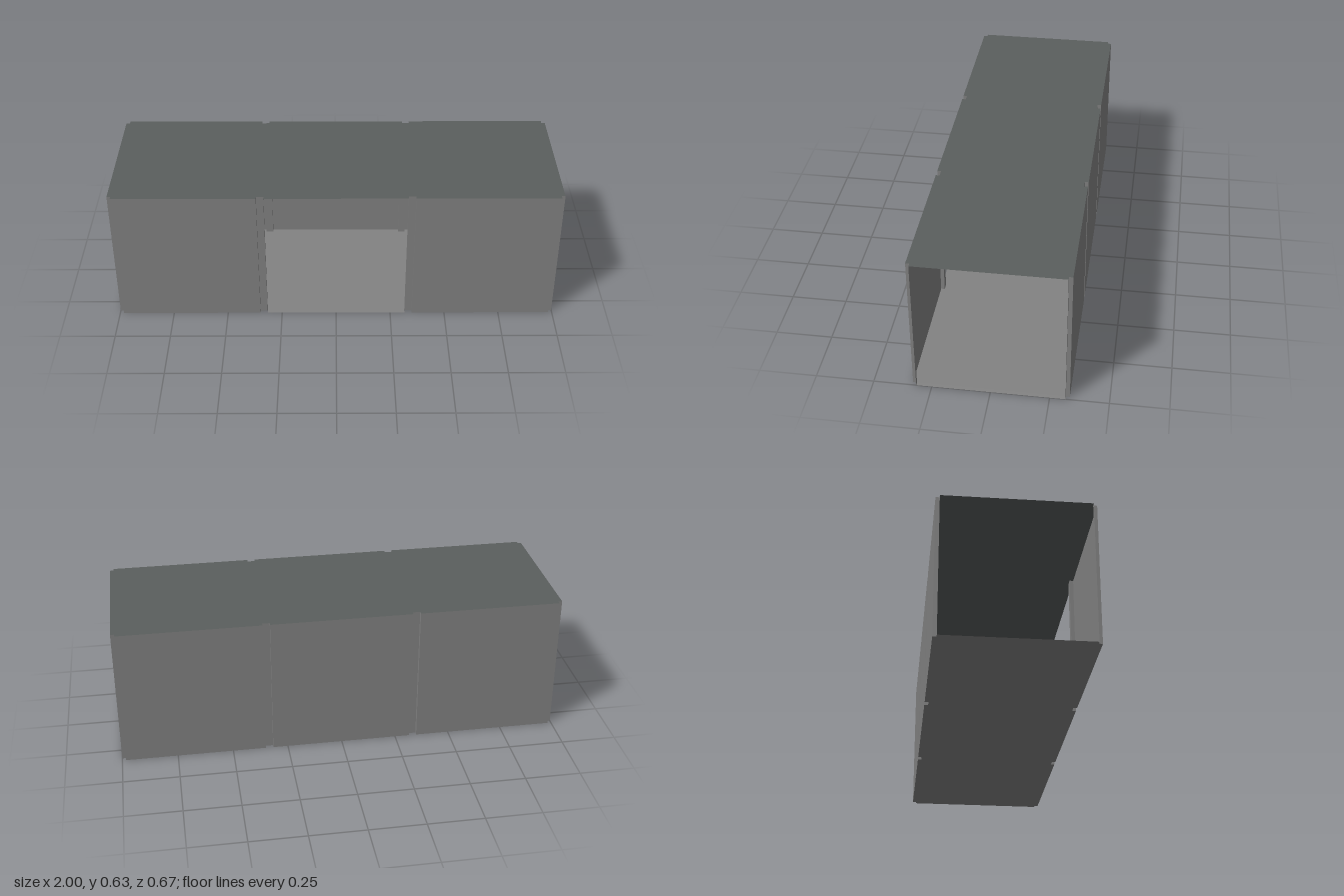
import * as THREE from 'three';

const H = 0.635;      // wall height
const M = 1 / 3;      // half a module, and half the depth
const STEP = 1 / 60;  // depth and width of the groove beside each panel

export function createModel() {
  const group = new THREE.Group();
  const wallGrey = new THREE.MeshStandardMaterial({ color: 0x838383, side: THREE.DoubleSide });
  const roofGrey = new THREE.MeshStandardMaterial({ color: 0x5b5f5e, side: THREE.DoubleSide });
  wallGrey.name = 'wallGrey';
  roofGrey.name = 'roofGrey';

  // Plan of one module's wall: jamb, return, panel, return, jamb
  const inner = M - STEP;
  const plan = [[-M, inner], [-inner, inner], [-inner, M], [inner, M], [inner, inner], [M, inner]];
  const names = ['jamb', 'panelReturn', 'wallPanel', 'panelReturn', 'jamb'];

  // Upright sheet between two plan points
  function sheet([x0, z0], [x1, z1], name) {
    const mesh = new THREE.Mesh(new THREE.PlaneGeometry(Math.hypot(x1 - x0, z1 - z0), H), wallGrey);
    mesh.position.set((x0 + x1) / 2, H / 2, (z0 + z1) / 2);
    mesh.rotation.y = -Math.atan2(z1 - z0, x1 - x0);
    mesh.name = name;
    return mesh;
  }

  // Three modules per long side; the middle front panel is an opening
  for (const front of [true, false]) {
    for (const i of [-1, 0, 1]) {
      const wall = new THREE.Group();
      wall.name = front ? 'frontWall' : 'backWall';
      names.forEach((name, k) => {
        if (front && i === 0 && name === 'wallPanel') return;
        wall.add(sheet(plan[k], plan[k + 1], name));
      });
      wall.position.x = i * 2 * M;
      if (!front) wall.rotation.y = Math.PI;
      group.add(wall);
    }
  }

  // Floor and roof follow the notched plan
  const edge = [-1, 0, 1].flatMap(i => plan.map(([x, z]) => new THREE.Vector2(x + i * 2 * M, z)));
  const outline = [...edge, ...edge.map(p => new THREE.Vector2(-p.x, -p.y))];
  const slab = new THREE.ShapeGeometry(new THREE.Shape(outline)).rotateX(-Math.PI / 2);
  for (const [name, y, material] of [['floor', 0, wallGrey], ['roof', H, roofGrey]]) {
    const mesh = new THREE.Mesh(slab, material);
    mesh.name = name;
    mesh.position.y = y;
    group.add(mesh);
  }
  return group;
}
